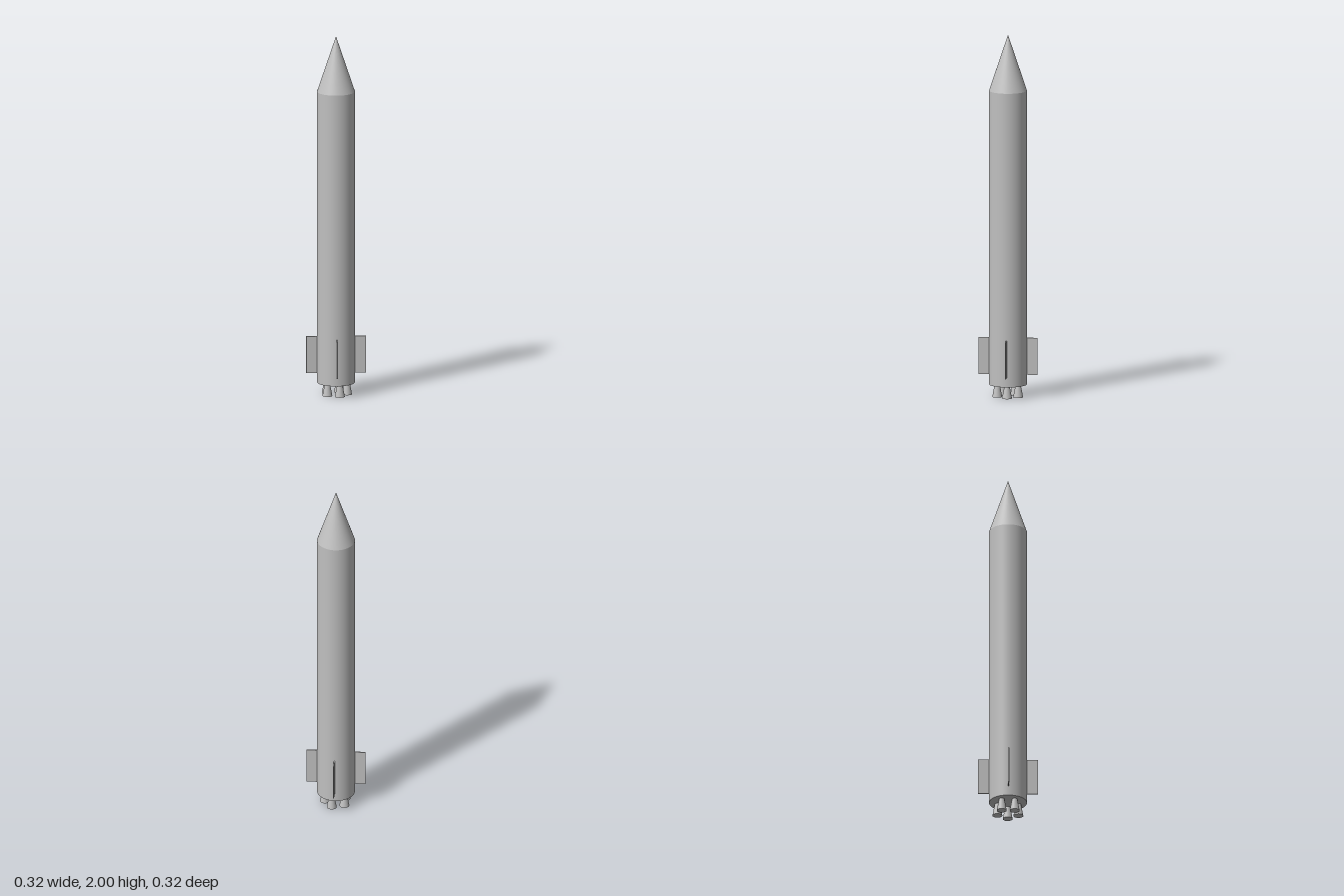
import * as THREE from 'three';

export function createModel() {
  const rocket = new THREE.Group();
  rocket.name = 'rocket';
  const grey = new THREE.MeshStandardMaterial({ color: 0xc0c0c0 });
  grey.name = 'light grey';

  const add = (name, geometry, x, y, z) => {
    const mesh = new THREE.Mesh(geometry, grey);
    mesh.name = name;
    mesh.position.set(x, y, z);
    rocket.add(mesh);
    return mesh;
  };

  const radius = 0.103, bodyBottom = 0.068, bodyTop = 1.692;

  // Long cylindrical body and pointed nose
  const bodyHeight = bodyTop - bodyBottom;
  add('body', new THREE.CylinderGeometry(radius, radius, bodyHeight, 64), 0, bodyBottom + bodyHeight / 2, 0);
  const noseHeight = 2 - bodyTop;
  add('noseCone', new THREE.ConeGeometry(radius, noseHeight, 64, 1, true), 0, bodyTop + noseHeight / 2, 0);

  // Four thin rectangular fins, rooted slightly inside the body
  const finInner = 0.095, finOuter = 0.162, finBottom = 0.122, finTop = 0.326;
  const finGeometry = new THREE.BoxGeometry(finOuter - finInner, finTop - finBottom, 0.006);
  const finRadius = (finInner + finOuter) / 2;
  for (let i = 0; i < 4; i++) {
    const a = i * Math.PI / 2;
    const fin = add('fin', finGeometry, finRadius * Math.cos(a), (finBottom + finTop) / 2, finRadius * Math.sin(a));
    fin.rotation.y = -a;
  }

  // Ring of five flared engine nozzles
  const nozzleGeometry = new THREE.CylinderGeometry(0.0145, 0.027, bodyBottom, 32);
  for (let i = 0; i < 5; i++) {
    const a = i * Math.PI * 2 / 5;
    add('engineNozzle', nozzleGeometry, 0.06 * Math.cos(a), bodyBottom / 2, 0.06 * Math.sin(a));
  }

  return rocket;
}
